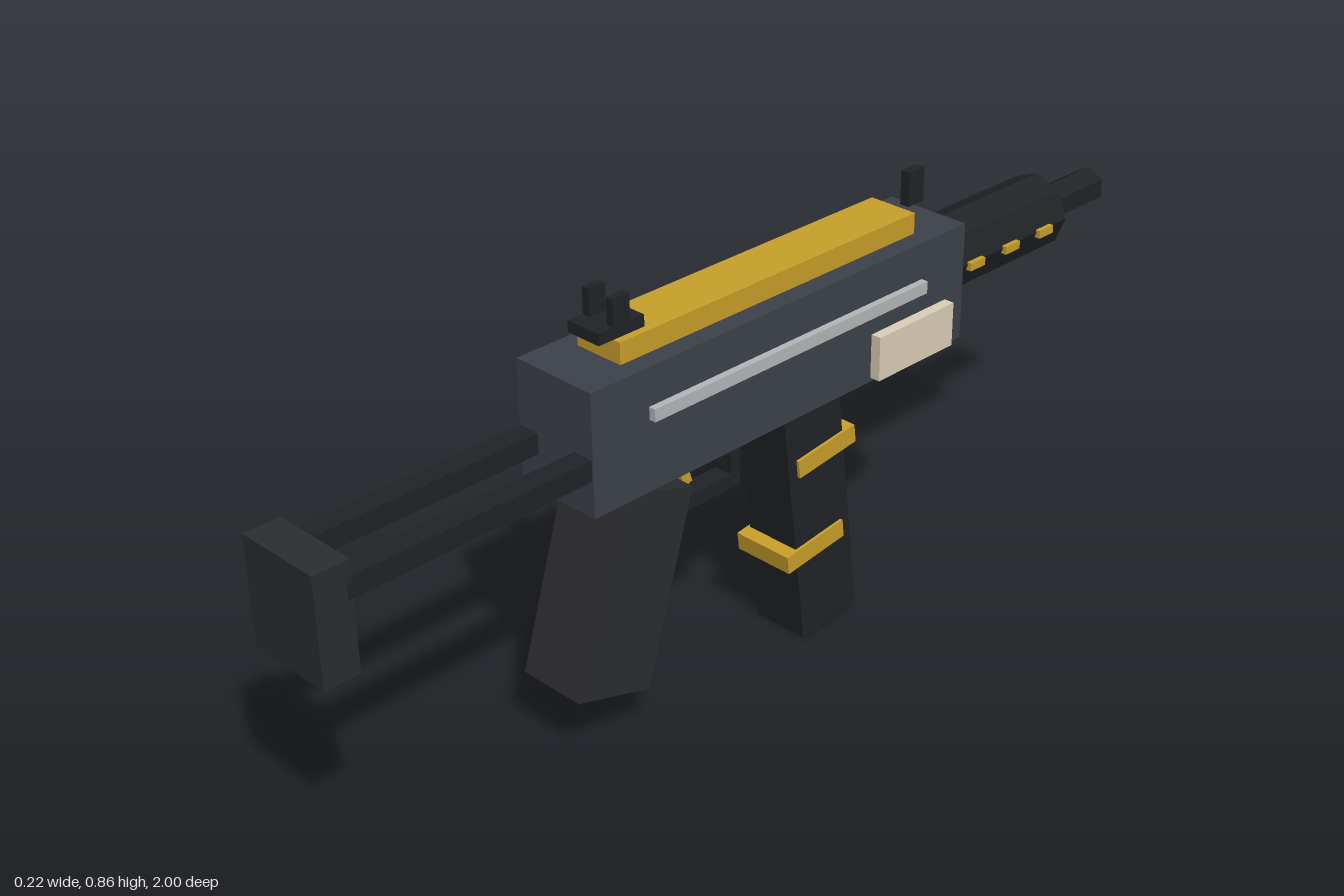
import * as THREE from 'three';

const mat = (color) => new THREE.MeshStandardMaterial({ color, flatShading: true });

export function createModel() {
  const model = new THREE.Group();
  model.name = 'compactGun';
  const steel = mat(0x3d414a), black = mat(0x212326), dark = mat(0x2c2d30);
  const gold = mat(0xc9a02a), silver = mat(0xb4b7ba), ivory = mat(0xdcd0b8);

  const add = (name, geometry, material, x, y, z, tilt = 0) => {
    const mesh = new THREE.Mesh(geometry, material);
    mesh.name = name;
    mesh.position.set(x, y, z);
    mesh.rotation.x = tilt;
    model.add(mesh);
    return mesh;
  };
  // Box centred at x, y, z and tilted about the x axis
  const box = (name, material, [w, h, d], [x, y, z], tilt) =>
    add(name, new THREE.BoxGeometry(w, h, d), material, x, y, z, tilt);
  // Faceted cylinder lying along z
  const tube = (name, material, radius, sides, z0, z1, y) =>
    add(name, new THREE.CylinderGeometry(radius, radius, Math.abs(z1 - z0), sides),
      material, 0, y, (z0 + z1) / 2, Math.PI / 2);

  // Receiver and top cover
  box('receiver', steel, [0.18, 0.234, 0.937], [0, 0.633, -0.022]);
  box('topCover', gold, [0.104, 0.042, 0.735], [0, 0.77, -0.022]);

  // Barrel
  tube('barrelShroud', black, 0.075, 8, -0.489, -0.825, 0.65);
  tube('muzzle', black, 0.0375, 6, -0.82, -1, 0.65);

  // Mirrored side details
  for (const s of [-1, 1]) {
    box('sideRail', silver, [0.02, 0.024, 0.69], [s * 0.094, 0.665, -0.026]);
    box('sidePlate', ivory, [0.026, 0.088, 0.206], [s * 0.098, 0.568, -0.338]);
    box('stockRod', black, [0.042, 0.04, 0.5], [s * 0.066, 0.606, 0.69]);
    box('rearSightPost', black, [0.016, 0.06, 0.037], [s * 0.029, 0.833, 0.326]);
    for (const z of [-0.545, -0.65, -0.754])
      box('shroudVent', gold, [0.018, 0.016, 0.042], [s * 0.074, 0.647, z]);
  }

  // Stock butt
  box('buttPlate', dark, [0.174, 0.206, 0.07], [0, 0.553, 0.965]);

  // Sights
  box('rearSightBase', black, [0.074, 0.022, 0.102], [0, 0.802, 0.327]);
  box('frontSight', black, [0.02, 0.068, 0.042], [0, 0.814, -0.442]);

  // Grip
  box('grip', dark, [0.14, 0.385, 0.174], [0, 0.311, 0.342], -0.3);

  // Magazine and its bands
  box('magazine', black, [0.118, 0.52, 0.146], [0, 0.271, -0.14], 0.12);
  box('upperBand', gold, [0.13, 0.037, 0.152], [0, 0.394, -0.15], 0.12);
  box('lowerBand', gold, [0.13, 0.037, 0.152], [0, 0.2, -0.123], 0.12);

  // Trigger and guard
  box('triggerGuardBar', black, [0.04, 0.028, 0.187], [0, 0.398, 0.128]);
  box('triggerGuardPost', black, [0.04, 0.112, 0.022], [0, 0.445, 0.046]);
  box('trigger', gold, [0.026, 0.062, 0.021], [0, 0.462, 0.166], 0.28);

  return model;
}
